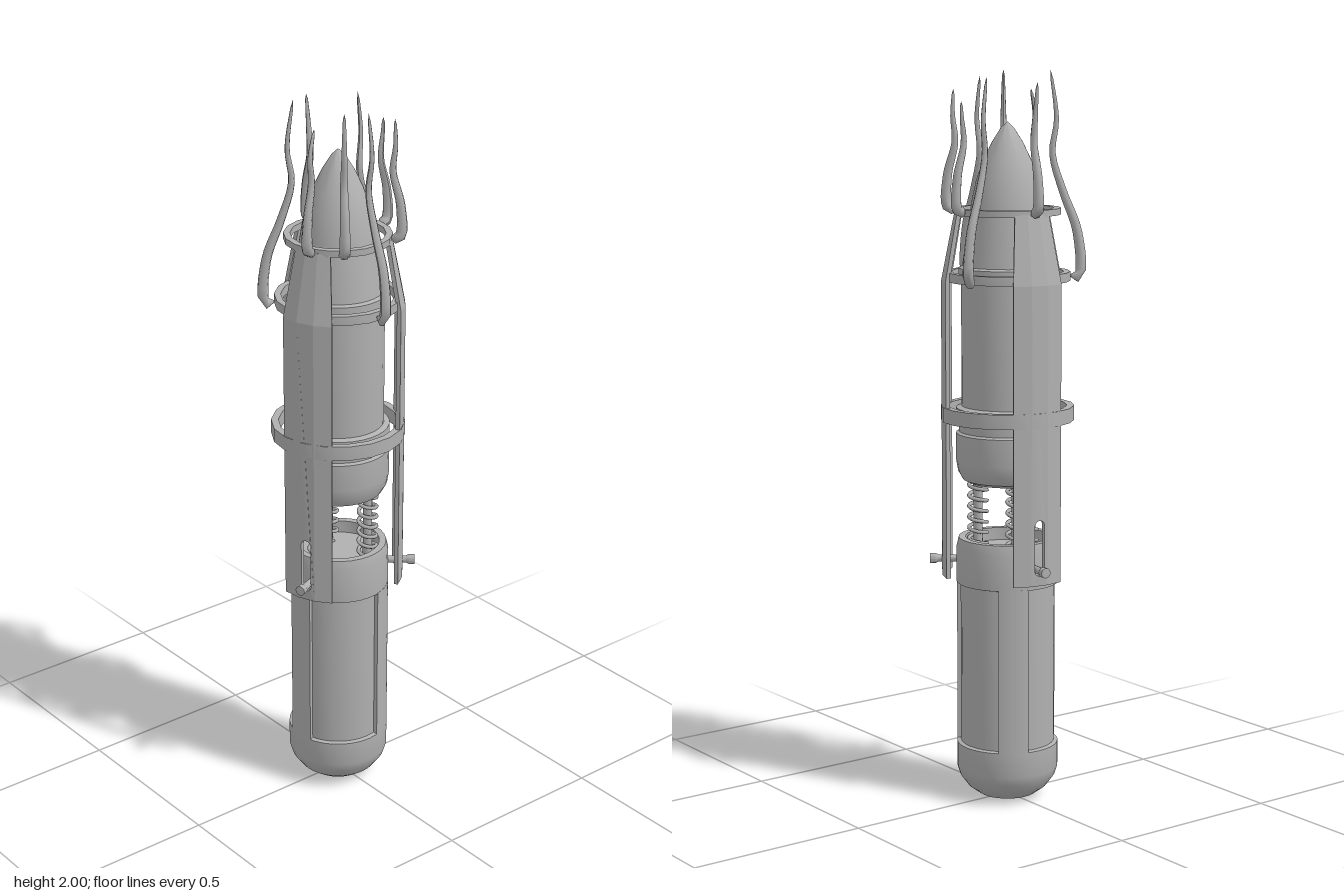
import * as THREE from 'three';
import { mergeGeometries, toCreasedNormals } from 'three/addons/utils/BufferGeometryUtils.js';

const rad = THREE.MathUtils.degToRad;
// Angles run from the front (+z) towards the model's left (+x)
const polar = (deg, r, y) => new THREE.Vector3(r * Math.sin(rad(deg)), y, r * Math.cos(rad(deg)));

// Turned solid with sharp corners where the profile bends strongly
function turned(profile, sides = 32) {
  const points = profile.map(([r, y]) => new THREE.Vector2(r, y));
  return toCreasedNormals(new THREE.LatheGeometry(points, sides), 0.6);
}

// Hoop of rectangular section
const hoop = (inner, outer, low, high) =>
  turned([[inner, low], [outer, low], [outer, high], [inner, high], [inner, low]], 18);

// Guard radius: straight below, tapering in above the shoulder
const guardRadius = (y) => (y <= 1.44 ? 0.168 : 0.168 - (y - 1.44) * 0.2);

// Flat panel bent onto the guard surface; a0, a1 in degrees about its centre
function guardPanel(a0, a1, y0, y1, topScale = 1, slot = false) {
  const shape = new THREE.Shape();
  shape.moveTo(a0, y0);
  shape.lineTo(a1, y0);
  shape.lineTo(a1 * topScale, y1);
  shape.lineTo(a0 * topScale, y1);
  shape.closePath();
  if (slot) {
    const hole = new THREE.Path();
    for (let i = 0; i < 12; i++) {
      const a = ((i + 0.5) / 12) * Math.PI * 2;
      const end = Math.sin(a) > 0 ? 0.795 : 0.672;
      const x = 4.8 * Math.cos(a), y = end + 0.015 * Math.sin(a);
      if (i) hole.lineTo(x, y); else hole.moveTo(x, y);
    }
    hole.closePath();
    shape.holes.push(hole);
  }
  const geo = new THREE.ExtrudeGeometry(shape, { depth: 0.012, bevelEnabled: false });
  const pos = geo.attributes.position;
  for (let i = 0; i < pos.count; i++) {
    const y = pos.getY(i);
    const p = polar(pos.getX(i), guardRadius(y) + pos.getZ(i), y);
    pos.setXYZ(i, p.x, p.y, p.z);
  }
  geo.computeVertexNormals();
  return geo;
}

// Curved bar of the grip, between two radii
function ribGeometry(inner, outer, half, height) {
  const shape = new THREE.Shape();
  shape.absarc(0, 0, outer, -half, half, false);
  shape.absarc(0, 0, inner, half, -half, true);
  shape.closePath();
  const geo = new THREE.ExtrudeGeometry(shape, { depth: height, bevelEnabled: false, curveSegments: 8 });
  geo.rotateZ(-Math.PI / 2).rotateX(-Math.PI / 2);
  return toCreasedNormals(geo, 0.5);
}

// Tube that swells from its root and thins to a point
function tendrilGeometry(points, width) {
  const steps = 24, sides = 7;
  const curve = new THREE.CatmullRomCurve3(points);
  const geo = new THREE.TubeGeometry(curve, steps, 1, sides);
  const pos = geo.attributes.position, v = new THREE.Vector3();
  for (let i = 0; i <= steps; i++) {
    const t = i / steps, c = curve.getPointAt(t);
    const w = i === 0 || i === steps ? 0 : width * (0.18 + 0.82 * Math.pow(1 - t, 0.8));
    for (let j = 0; j <= sides; j++) {
      const k = i * (sides + 1) + j;
      v.fromBufferAttribute(pos, k).sub(c).multiplyScalar(w).add(c);
      pos.setXYZ(k, v.x, v.y, v.z);
    }
  }
  geo.computeVertexNormals();
  return geo;
}

export function createModel() {
  const model = new THREE.Group();
  const metal = new THREE.MeshStandardMaterial({ color: 0xb0b0b0 });
  metal.name = 'grey metal';
  const add = (name, geo) => {
    const mesh = new THREE.Mesh(geo, metal);
    mesh.name = name;
    model.add(mesh);
    return mesh;
  };

  // Lower handle: rounded pommel, recessed grip, hollow collar
  add('handle', turned([
    [0, 0], [0.05, 0.001], [0.08, 0.008], [0.11, 0.03], [0.132, 0.06], [0.14, 0.085],
    [0.14, 0.155], [0.129, 0.158], [0.129, 0.607], [0.14, 0.61], [0.14, 0.71], [0.134, 0.735],
    [0.115, 0.735], [0.115, 0.7], [0, 0.7],
  ]));
  const rib = ribGeometry(0.12, 0.14, rad(17), 0.46);
  for (const deg of [0, 120, 240]) {
    const bar = add('gripRib', rib);
    bar.position.y = 0.152;
    bar.rotation.y = rad(deg);
  }

  // Springs on guide rods between the handle and the upper body
  const coil = [];
  for (let i = 0; i <= 84; i++) {
    const a = (i / 12) * Math.PI * 2;
    coil.push(new THREE.Vector3(0.025 * Math.cos(a), 0.7 + 0.21 * (i / 84), 0.025 * Math.sin(a)));
  }
  const springGeo = new THREE.TubeGeometry(new THREE.CatmullRomCurve3(coil), 168, 0.0055, 6);
  const rodGeo = new THREE.CylinderGeometry(0.013, 0.013, 0.22, 12);
  for (const deg of [10, 130, 250]) {
    add('spring', springGeo).position.copy(polar(deg, 0.083, 0));
    add('guideRod', rodGeo).position.copy(polar(deg, 0.083, 0.8));
  }

  // Upper body with pointed nose
  add('upperBody', turned([
    [0, 0.885], [0.1, 0.887], [0.122, 0.897], [0.135, 0.92], [0.14, 0.95], [0.14, 1.025],
    [0.132, 1.03], [0.132, 1.06], [0.14, 1.063], [0.14, 1.095], [0.125, 1.1], [0.125, 1.44],
    [0.132, 1.443], [0.132, 1.475], [0.122, 1.48], [0.1, 1.63],
  ]));
  add('nose', turned([
    [0.1, 1.628], [0.095, 1.66], [0.084, 1.71], [0.066, 1.76], [0.042, 1.81], [0.018, 1.848], [0, 1.865],
  ]));

  // Hoops that carry the guards
  add('middleHoop', hoop(0.162, 0.182, 1.06, 1.1));
  add('shoulderHoop', hoop(0.152, 0.17, 1.44, 1.465));
  add('topHoop', hoop(0.126, 0.144, 1.618, 1.636));

  // Three slotted guards with a flared pin in each slot
  const columns = [[-24, -8], [-8, 8], [8, 24]];
  const guardGeo = mergeGeometries(columns.flatMap(([a0, a1], i) => [
    guardPanel(a0, a1, 0.63, 1.44, 1, i === 1),
    guardPanel(a0, a1, 1.44, 1.625, 0.88),
  ]));
  const pinGeo = turned([
    [0, 0.135], [0.01, 0.135], [0.01, 0.19], [0.014, 0.197], [0.014, 0.213], [0, 0.214],
  ], 12);
  for (const deg of [22, 142, 262]) {
    add('guard', guardGeo).rotation.y = rad(deg);
    const pin = add('slotPin', pinGeo);
    pin.position.y = 0.672;
    pin.rotation.set(Math.PI / 2, rad(deg), 0, 'YXZ');
  }

  // Long tendrils rise from the shoulder hoop: angle, tip height
  const longPath = [[0.165, 1.452], [0.194, 1.45], [0.19, 1.57], [0.15, 1.68], [0.122, 1.78], [0.133, 1.87], [0.117, 1]];
  for (const [deg, tip] of [[88, 1.985], [201, 1.985], [328, 2]]) {
    const points = longPath.map(([r, y], i) => polar(deg + i * 0.7, r, i === 6 ? tip : y));
    add('longTendril', tendrilGeometry(points, 0.016));
  }

  // Short tendrils rise from the top hoop: angle, tip radius, tip height
  const shortPath = [[0.138, 1.63], [0.164, 1.635], [0.165, 1.72], [0.144, 1.81], [0.15, 1.88]];
  for (const [deg, r, tip] of [[23, 0.128, 1.95], [57, 0.15, 2], [131, 0.148, 1.95], [180, 0.152, 1.92], [262, 0.162, 1.97]]) {
    const points = shortPath.map(([pr, y]) => polar(deg, pr, y));
    points.push(polar(deg, r, tip));
    add('shortTendril', tendrilGeometry(points, 0.016));
  }
  return model;
}
